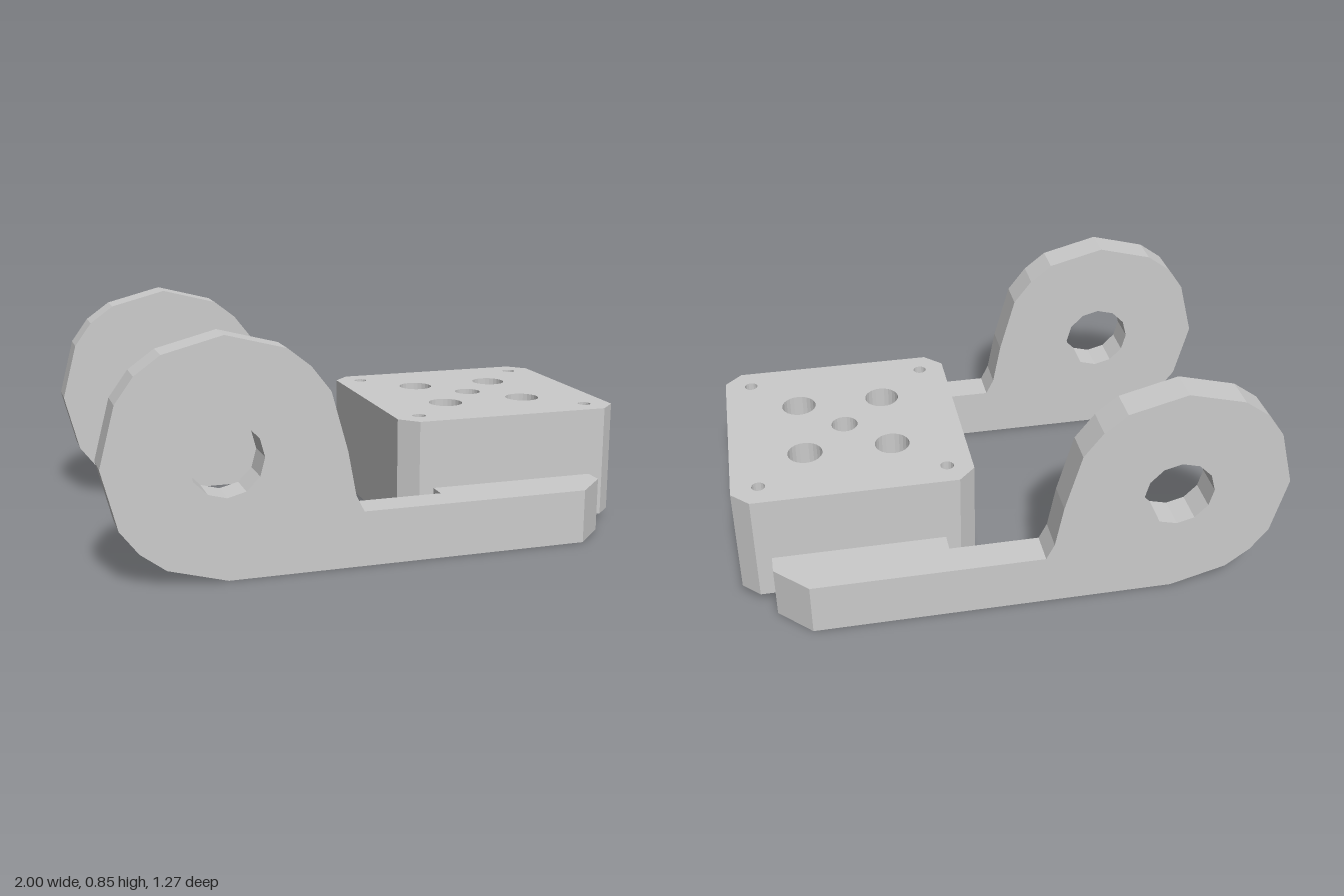
import * as THREE from 'three';

const material = new THREE.MeshStandardMaterial({ color: 0xcccccc, flatShading: true });

const polygon = (points) => new THREE.Shape(points.map(([x, y]) => new THREE.Vector2(x, y)));

function addHole(shape, cx, cy, r, sides) {
  const points = [];
  for (let i = 0; i < sides; i++) {
    const a = (i / sides) * Math.PI * 2;
    points.push(new THREE.Vector2(cx + r * Math.cos(a), cy + r * Math.sin(a)));
  }
  shape.holes.push(new THREE.Path(points));
}

function extrude(name, shape, depth) {
  const geometry = new THREE.ExtrudeGeometry(shape, { depth, bevelEnabled: false, curveSegments: 1 });
  const mesh = new THREE.Mesh(geometry, material);
  mesh.name = name;
  return mesh;
}

// Plan shape (x, -z) raised from y0 to y1
function slab(name, shape, y0, y1) {
  const mesh = extrude(name, shape, y1 - y0);
  mesh.geometry.rotateX(-Math.PI / 2);
  mesh.position.y = y0;
  return mesh;
}

// Chamfered block outline, optionally with a slot cut into its right side
function blockOutline(slotted) {
  const x0 = 0.12, x1 = 1, z = 0.438, c = 0.064;
  const slot = slotted ? [[x1, 0], [0.75, 0], [0.75, 0.275], [x1, 0.275]] : [];
  return polygon([
    [x0 + c, -z], [x1 - c, -z], [x1, -z + c], ...slot, [x1, z - c],
    [x1 - c, z], [x0 + c, z], [x0, z - c], [x0, -z + c],
  ]);
}

function createBlock() {
  const block = new THREE.Group();
  block.name = 'block';
  const cx = 0.558;

  // Lower layers share the wide bore; the middle one holds the slot
  const base = blockOutline(false);
  addHole(base, cx, 0, 0.13, 12);
  const middle = blockOutline(true);
  addHole(middle, cx, 0, 0.13, 12);
  const upper = blockOutline(false);
  addHole(upper, cx, 0, 0.05, 24);

  // Top layer with bolt holes and corner screw holes
  const top = blockOutline(false);
  addHole(top, cx, 0, 0.05, 24);
  for (const sx of [-1, 1]) {
    for (const sz of [-1, 1]) {
      addHole(top, cx + sx * 0.163, sz * 0.163, 0.065, 24);
      addHole(top, cx + sx * 0.342, sz * 0.342, 0.025, 16);
    }
  }
  block.add(
    slab('blockBase', base, 0.035, 0.12),
    slab('blockSlotLayer', middle, 0.12, 0.24),
    slab('blockUpper', upper, 0.24, 0.34),
    slab('blockTop', top, 0.34, 0.455),
  );
  return block;
}

function createArm(side) {
  const arm = new THREE.Group();
  arm.name = side > 0 ? 'frontArm' : 'backArm';

  // Ring-shaped lug running into a straight bar
  const profile = polygon([
    [-0.58, 0], [0.24, 0], [0.24, 0.2], [-0.095, 0.2], [-0.125, 0.26], [-0.155, 0.42],
    [-0.215, 0.635], [-0.285, 0.725], [-0.367, 0.79], [-0.58, 0.845], [-0.79, 0.79],
    [-0.88, 0.725], [-0.945, 0.635], [-1, 0.424], [-0.945, 0.21], [-0.88, 0.125], [-0.79, 0.058],
  ]);
  addHole(profile, -0.58, 0.424, 0.132, 12);
  const lug = extrude('lug', profile, 0.125);
  lug.position.z = side > 0 ? 0.508 : -0.633;

  // Chamfered foot reaching in to the block
  const foot = polygon([
    [0.24, 0.633], [0.76, 0.633], [0.88, 0.512], [0.88, 0.438], [0.24, 0.438],
  ].map(([x, z]) => [x, -z * side]));
  arm.add(lug, slab('foot', foot, 0, 0.2));
  return arm;
}

export function createModel() {
  const model = new THREE.Group();
  model.name = 'bracket';
  model.add(createBlock(), createArm(1), createArm(-1));
  return model;
}
